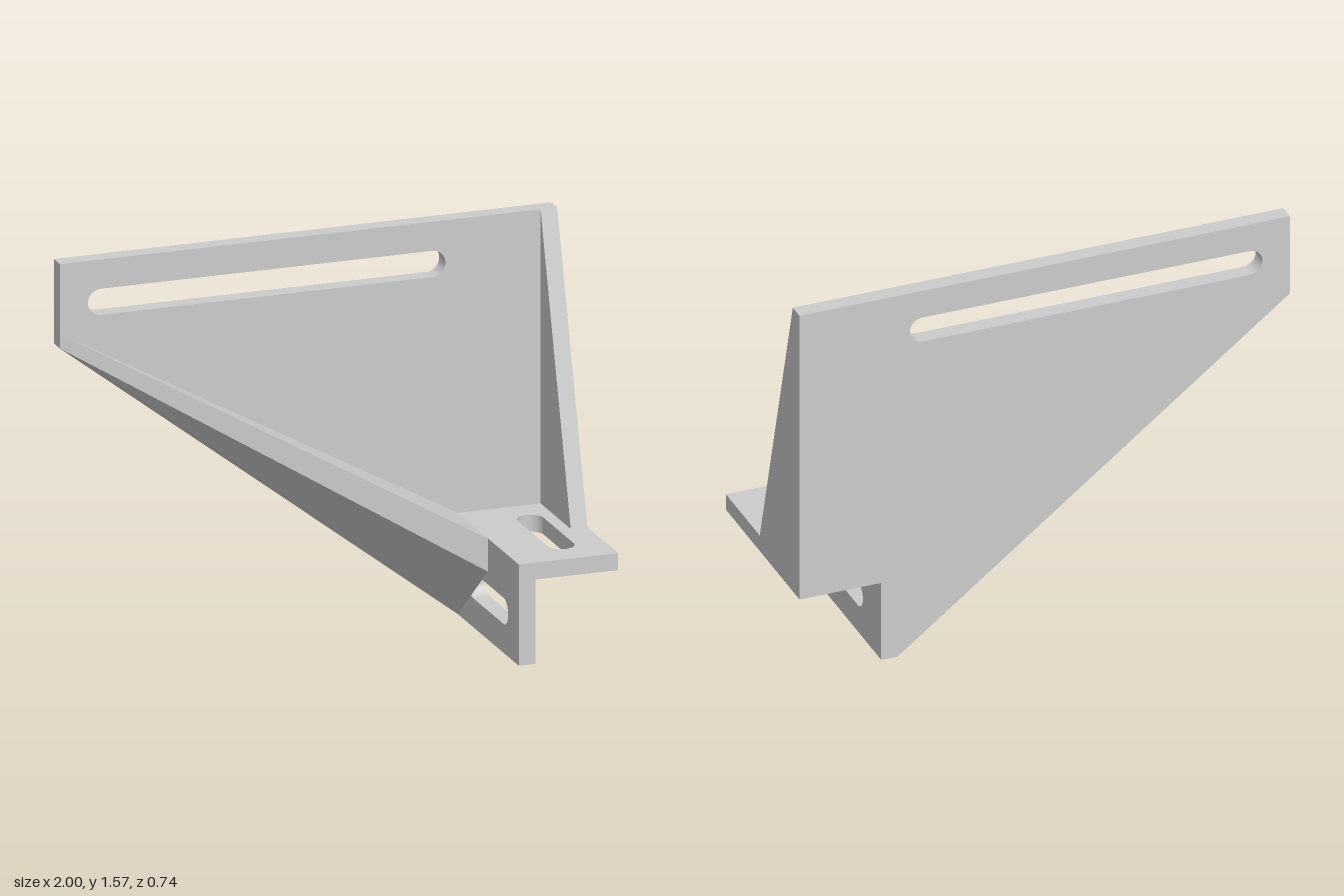
import * as THREE from 'three';
import { ConvexGeometry } from 'three/addons/geometries/ConvexGeometry.js';
import { toCreasedNormals } from 'three/addons/utils/BufferGeometryUtils.js';

const T = 0.067; // sheet thickness

// Closed outline from corner points
function outline(points) {
  return new THREE.Shape(points.map(([x, y]) => new THREE.Vector2(x, y)));
}

// Round-ended slot filling the given rectangle, along its longer side
function slot(x0, y0, x1, y1) {
  const p = new THREE.Path();
  const r = Math.min(x1 - x0, y1 - y0) / 2;
  if (x1 - x0 > y1 - y0) {
    p.absarc(x1 - r, y0 + r, r, -Math.PI / 2, Math.PI / 2);
    p.absarc(x0 + r, y0 + r, r, Math.PI / 2, Math.PI * 1.5);
  } else {
    p.absarc(x0 + r, y1 - r, r, 0, Math.PI);
    p.absarc(x0 + r, y0 + r, r, Math.PI, Math.PI * 2);
  }
  p.closePath();
  return p;
}

function sheet(points, hole) {
  const shape = outline(points);
  if (hole) shape.holes.push(hole);
  const g = new THREE.ExtrudeGeometry(shape, { depth: T, bevelEnabled: false, curveSegments: 16 });
  return toCreasedNormals(g, 0.5);
}

export function createModel() {
  const group = new THREE.Group();
  const material = new THREE.MeshStandardMaterial({ color: 0xcccccc });
  const add = (name, geometry) => {
    const mesh = new THREE.Mesh(geometry, material);
    mesh.name = name;
    group.add(mesh);
  };

  const back = -0.368, front = 0.368, inner = back + T;
  const left = 0.6, top = 1.57, shelfTop = 0.402, shelfBottom = shelfTop - T;
  const ribFront = 0.03;

  // Large slotted back plate
  add('backPlate', sheet(
    [[-1, top], [-1, 1.235], [left, 0], [left + T, 0], [left + T, shelfBottom], [1, shelfBottom], [1, top]],
    slot(-0.887, 1.35, 0.55, 1.454)
  ).translate(0, 0, back));

  // Horizontal shelf, drawn in x and -z
  add('shelf', sheet(
    [[left, -front], [1, -front], [1, -inner], [left, -inner]],
    slot(0.78, -0.25, 0.884, 0.187)
  ).rotateX(-Math.PI / 2).translate(0, shelfBottom, 0));

  // Hanging flange under the shelf, drawn in z and y
  add('lowerFlange', sheet(
    [[inner, 0], [front, 0], [front, shelfBottom], [inner, shelfBottom]],
    slot(-0.185, 0.115, 0.252, 0.219)
  ).rotateY(-Math.PI / 2).translate(left + T, 0, 0));

  // Upright triangular rib along the side edge
  add('sideRib', sheet(
    [[inner, shelfTop], [ribFront, shelfTop], [inner, top]]
  ).rotateY(-Math.PI / 2).translate(1, 0, 0));

  // Tapered diagonal rib running from the shelf to the far corner
  add('diagonalRib', new ConvexGeometry([
    [-1, 1.235, inner], [-1, 1.292, inner],
    [left, 0, inner], [left, shelfTop, inner],
    [left, 0.27, ribFront], [left, shelfTop, ribFront],
  ].map((p) => new THREE.Vector3(...p))));

  return group;
}
